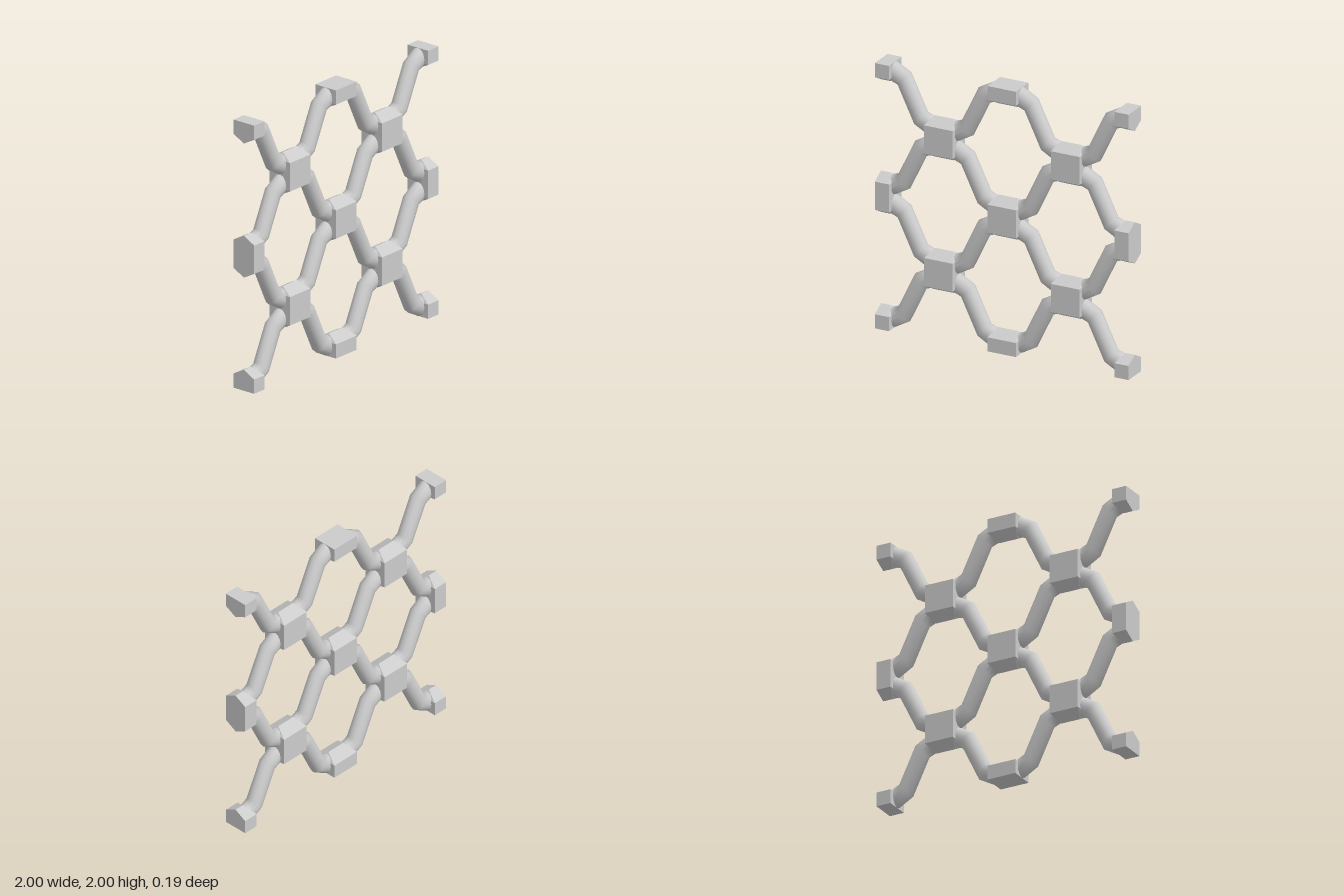
import * as THREE from 'three';
import { ConvexGeometry } from 'three/addons/geometries/ConvexGeometry.js';
import { toCreasedNormals } from 'three/addons/utils/BufferGeometryUtils.js';

const material = new THREE.MeshStandardMaterial({ color: 0xcccccc });
const STEP = 0.5; // distance between neighbouring joints
const CELLS = 4;

// Bent strand from a joint at the origin to the joint at (STEP, -STEP).
// Each section is [upper x, upper y, lower x, lower y].
function strandGeometry() {
  const half = [
    [0.06, 0, 0.06, -0.13],
    [0.115, 0, 0.1, -0.15],
    [0.23, -0.065, 0.14, -0.165],
  ];
  // the second half is the first one turned about the middle
  const turned = half.map(s => [STEP - s[2], -STEP - s[3], STEP - s[0], -STEP - s[1]]).reverse();
  const sections = [...half, ...turned];
  const sides = 12, depth = 0.06;
  const positions = [], index = [];
  sections.forEach(([ux, uy, lx, ly], r) => {
    for (let k = 0; k < sides; k++) {
      const a = (k / sides) * Math.PI * 2, c = Math.cos(a) / 2;
      positions.push((ux + lx) / 2 + (ux - lx) * c, (uy + ly) / 2 + (uy - ly) * c, depth * Math.sin(a));
      if (r < sections.length - 1) {
        const p = r * sides + k, q = r * sides + (k + 1) % sides;
        index.push(p, q, p + sides, q, q + sides, p + sides);
      }
    }
  });
  const geometry = new THREE.BufferGeometry();
  geometry.setAttribute('position', new THREE.Float32BufferAttribute(positions, 3));
  geometry.setIndex(index);
  geometry.computeVertexNormals();
  return geometry;
}

// Hexagonal joint block, cut flat where it meets the border of the panel
function jointGeometry(x, y) {
  const points = [];
  const add = (dx, dy, z) => points.push(new THREE.Vector3(
    THREE.MathUtils.clamp(x + dx, -1, 1), THREE.MathUtils.clamp(y + dy, 0, 2), z));
  for (const sx of [-1, 1]) for (const sy of [-1, 1]) {
    add(sx * 0.075, sy * 0.156, 0);
    for (const sz of [-1, 1]) add(sx * 0.112, sy * 0.106, sz * 0.094);
  }
  return toCreasedNormals(new ConvexGeometry(points), 0.6);
}

export function createModel() {
  const model = new THREE.Group();
  model.name = 'latticePanel';

  // Joints on every second grid point
  const joints = new THREE.Group();
  joints.name = 'joints';
  for (let i = 0; i <= CELLS; i++) for (let j = 0; j <= CELLS; j++) {
    if ((i + j) % 2) continue;
    const joint = new THREE.Mesh(jointGeometry(i * STEP - 1, j * STEP), material);
    joint.name = 'joint';
    joints.add(joint);
  }

  // One diagonal strand in each cell, alternating in direction
  const strands = new THREE.Group();
  strands.name = 'strands';
  const geometry = strandGeometry();
  for (let i = 0; i < CELLS; i++) for (let j = 0; j < CELLS; j++) {
    const strand = new THREE.Mesh(geometry, material);
    const rising = (i + j) % 2 === 0;
    strand.name = 'strand';
    strand.position.set((rising ? i + 1 : i) * STEP - 1, (j + 1) * STEP, 0);
    if (rising) strand.rotation.y = Math.PI;
    strands.add(strand);
  }

  model.add(joints, strands);
  return model;
}
